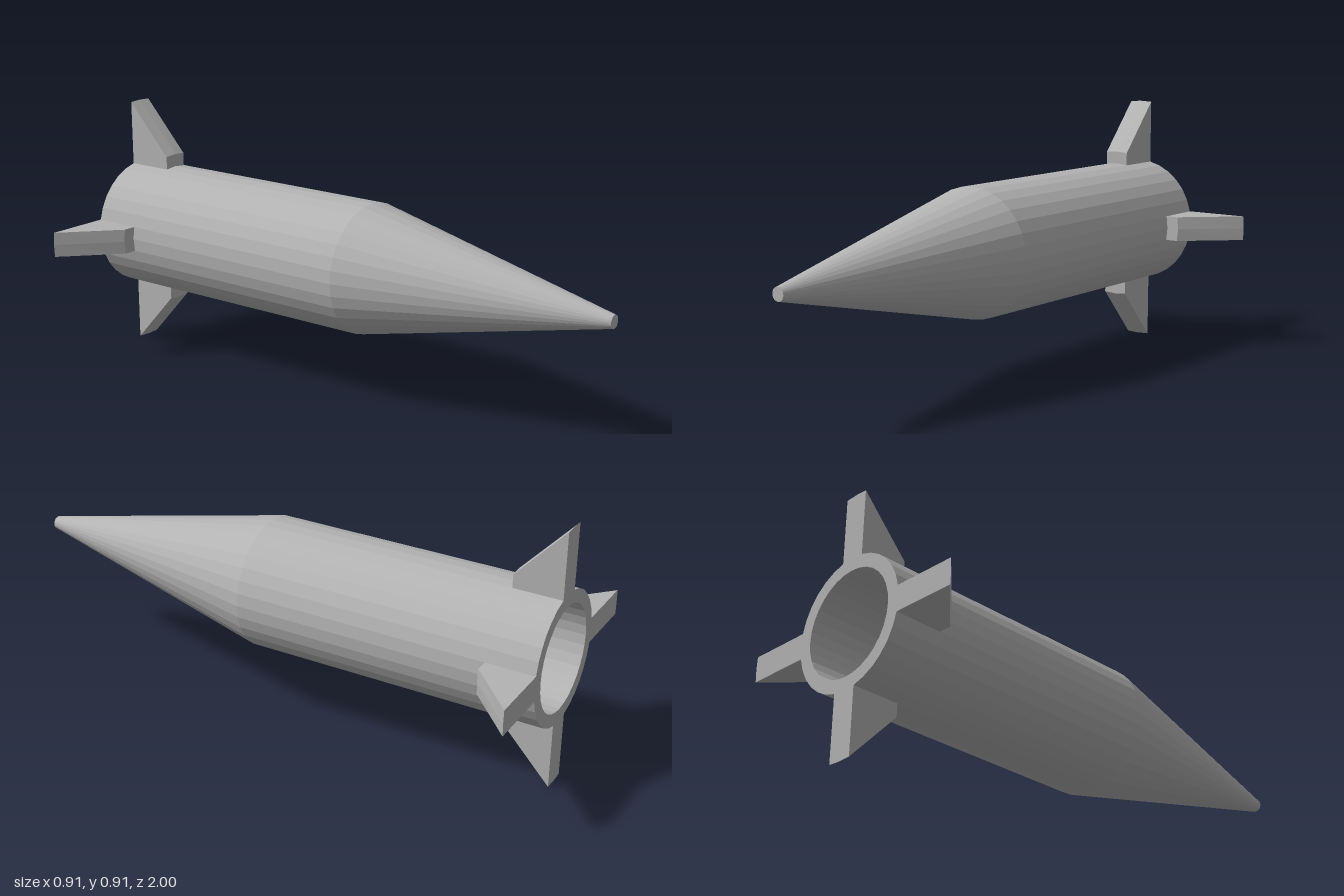
import * as THREE from 'three';

const AXIS_Y = 0.457;   // height of the long axis
const SIDES = 32;
const BODY_R = 0.2275;
const FIN_ROOT_R = 0.273;
const FIN_TIP_R = 0.455;
const FIN_WIDTH = 0.089;

// Hollow body and tapered nose, turned from one closed profile (radius, z)
function bodyGeometry() {
  const profile = [
    [0, -0.66], [0.182, -0.66],       // floor of the rear cavity
    [0.182, -1], [BODY_R, -1],        // rear rim
    [BODY_R, 0.07],                   // shoulder
    [0.0225, 1], [0, 1],              // blunt tip
  ].map(([r, z]) => new THREE.Vector2(r, z));
  const geo = new THREE.LatheGeometry(profile, SIDES).toNonIndexed();
  geo.rotateX(Math.PI / 2);
  geo.computeVertexNormals();         // flat facets
  return geo;
}

// Swept fin pointing up, its outer edges bowed to follow circles about the axis
function finGeometry() {
  const shape = new THREE.Shape([
    [-1, 0.2], [-0.83, 0.2], [-0.83, FIN_ROOT_R], [-1, FIN_TIP_R],
  ].map(([z, r]) => new THREE.Vector2(z, r)));
  const geo = new THREE.ExtrudeGeometry(shape, { depth: FIN_WIDTH, steps: 2, bevelEnabled: false });
  geo.translate(0, 0, -FIN_WIDTH / 2);
  geo.rotateY(-Math.PI / 2);
  const pos = geo.attributes.position;
  for (let i = 0; i < pos.count; i++) {
    const r = pos.getY(i);
    if (r > 0.25) pos.setY(i, Math.sqrt(r * r - pos.getX(i) ** 2));
  }
  geo.computeVertexNormals();
  return geo;
}

export function createModel() {
  const model = new THREE.Group();
  model.name = 'rocket';
  const grey = new THREE.MeshStandardMaterial({ color: 0xb3b3b3 });
  grey.name = 'grey';

  const body = new THREE.Mesh(bodyGeometry(), grey);
  body.name = 'body';
  body.position.y = AXIS_Y;
  model.add(body);

  // Four fins around the tail
  const finGeo = finGeometry();
  ['topFin', 'rightFin', 'bottomFin', 'leftFin'].forEach((name, i) => {
    const fin = new THREE.Mesh(finGeo, grey);
    fin.name = name;
    fin.position.y = AXIS_Y;
    fin.rotation.z = i * Math.PI / 2;
    model.add(fin);
  });
  return model;
}
